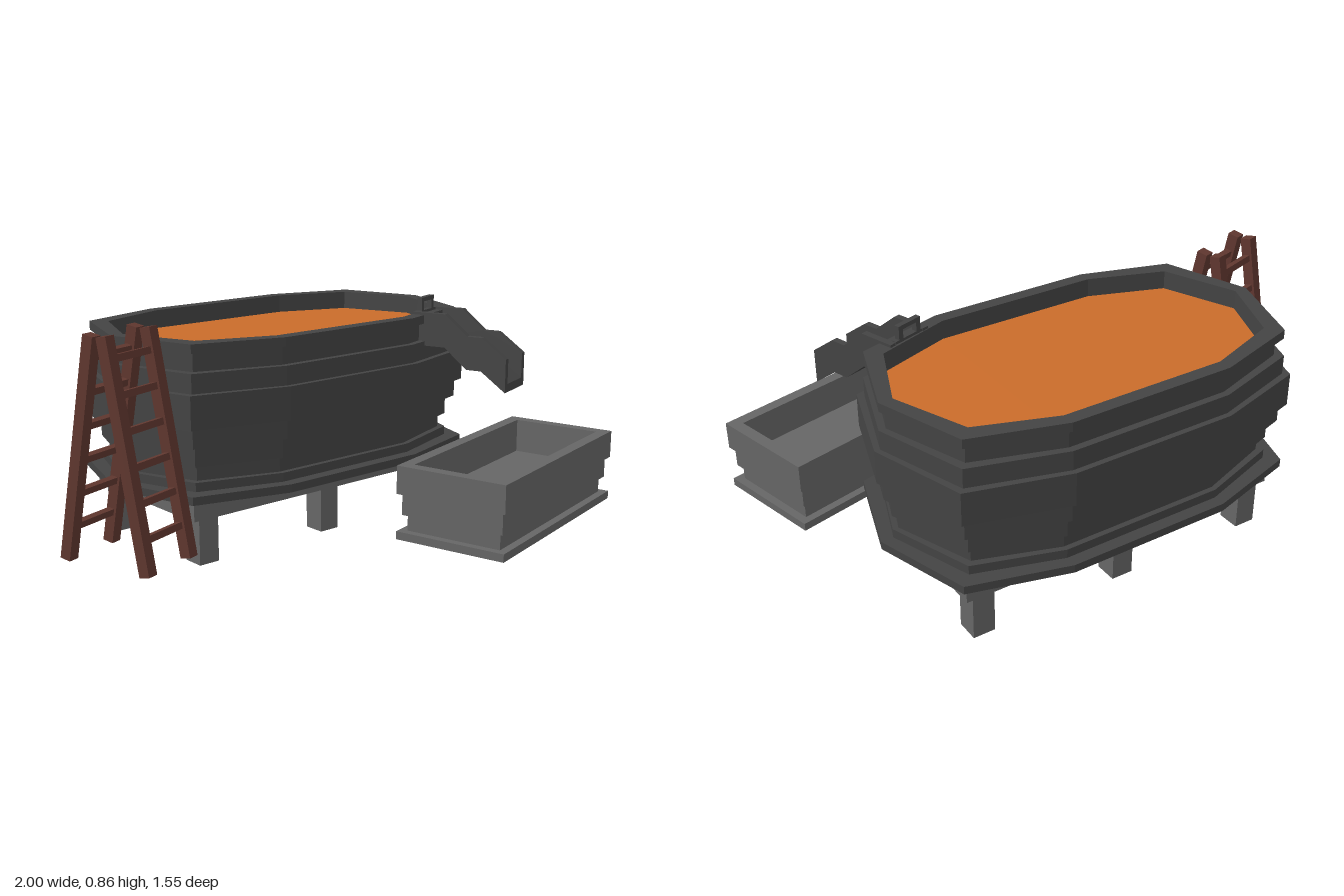
import * as THREE from 'three';

const mat = (name, color, extra = {}) => {
  const m = new THREE.MeshStandardMaterial({ color, ...extra });
  m.name = name;
  return m;
};

export function createModel() {
  const model = new THREE.Group();
  model.name = 'smeltingVat';
  const darkIron = mat('darkIron', 0x444444);
  const stone = mat('lightStone', 0x666666);
  const molten = mat('moltenOrange', 0xca6c2a);
  const wood = mat('redBrownWood', 0x60372f);

  const add = (parent, name, geo, material, x = 0, y = 0, z = 0) => {
    const m = new THREE.Mesh(geo, material);
    m.name = name;
    m.position.set(x, y, z);
    parent.add(m);
    return m;
  };
  const group = (name, x, y, z, turn = 0) => {
    const g = new THREE.Group();
    g.name = name;
    g.position.set(x, y, z);
    g.rotation.y = turn;
    model.add(g);
    return g;
  };
  const box = (w, h, d) => new THREE.BoxGeometry(w, h, d);

  // Upright slab from a plan outline, with an optional hole
  const slab = (outline, y0, y1, hole) => {
    const shape = new THREE.Shape(outline);
    if (hole) shape.holes.push(new THREE.Path(hole));
    const g = new THREE.ExtrudeGeometry(shape, { depth: y1 - y0, bevelEnabled: false });
    return g.rotateX(-Math.PI / 2).translate(0, y0, 0);
  };
  const V = (x, y) => new THREE.Vector2(x, y);

  // Ten-sided plan, drawn in by d
  const decagon = (d) => {
    const a = 0.45 - d, b = 0.665 - d, c = 0.35 - d, e = 0.775 - d;
    return [V(e, 0), V(b, c), V(0.31, a), V(-0.31, a), V(-b, c),
      V(-e, 0), V(-b, -c), V(-0.31, -a), V(0.31, -a), V(b, -c)];
  };
  const rect = (d) => {
    const w = 0.451 - d, h = 0.215 - d;
    return [V(w, h), V(-w, h), V(-w, -h), V(w, -h)];
  };

  // Vat: stacked stepped courses, the upper ones hollow
  const vat = group('vat', 0.035, 0, -0.325);
  [
    [0.245, 0.275, 0], [0.275, 0.308, 0.045], [0.308, 0.3625, 0.065],
    [0.3625, 0.437, 0.045], [0.437, 0.508, 0.02], [0.508, 0.63, 0],
    [0.63, 0.70, 0.02], [0.70, 0.767, 0.045, true], [0.767, 0.80, 0.025, true],
  ].forEach(([y0, y1, d, hollow], i) =>
    add(vat, 'vatCourse' + (i + 1), slab(decagon(d), y0, y1, hollow && decagon(0.075)), darkIron));
  add(vat, 'moltenSurface', slab(decagon(0.075), 0.70, 0.73), molten);

  // Platform and six legs
  add(vat, 'platform', box(1.27, 0.075, 0.625), stone, 0, 0.2075, 0);
  for (const x of [-0.565, 0, 0.565]) {
    for (const z of [-0.2575, 0.2575]) {
      add(vat, 'leg', box(0.082, 0.17, 0.085), stone, x, 0.085, z);
    }
  }

  // Casting trough with stepped walls
  const trough = group('trough', 0.507, 0, 0.457, 0.246);
  add(trough, 'troughBase', slab(rect(0), 0.065, 0.095), stone);
  add(trough, 'troughLowerWall', slab(rect(0.03), 0.095, 0.155), stone);
  add(trough, 'troughMiddle', slab(rect(0.015), 0.155, 0.21), stone);
  add(trough, 'troughUpperWall', slab(rect(0.015), 0.21, 0.235, rect(0.045)), stone);
  add(trough, 'troughRim', slab(rect(0), 0.235, 0.34, rect(0.045)), stone);

  // Pouring chute: side profile swept across its width
  const chute = group('chute', 0.5, 0, 0, 0.32);
  const run = [[0, 0.81], [0.137, 0.81], [0.23, 0.733], [0.29, 0.733], [0.39, 0.66]];
  const strip = (height, width) => {
    const pts = run.map(([s, y]) => V(s, y - 0.128));
    [...run].reverse().forEach(([s, y]) => pts.push(V(s, y - 0.128 + height)));
    const g = new THREE.ExtrudeGeometry(new THREE.Shape(pts), { depth: width, bevelEnabled: false });
    return g.translate(0, 0, -width / 2).rotateY(-Math.PI / 2);
  };
  add(chute, 'chuteFloor', strip(0.032, 0.136), darkIron);
  for (const s of [-1, 1]) add(chute, 'chuteWall', strip(0.128, 0.024), darkIron, s * 0.079);

  // Sluice gate with a square handle
  add(chute, 'gatePlate', box(0.136, 0.11, 0.02), darkIron, -0.005, 0.755, 0.012);
  for (const s of [-1, 1]) add(chute, 'gateHandlePost', box(0.02, 0.055, 0.02), darkIron, -0.005 + s * 0.042, 0.8325, 0.012);
  add(chute, 'gateHandleBar', box(0.104, 0.016, 0.02), darkIron, -0.005, 0.852, 0.012);

  // Folding ladder: two leaning frames of rails and rungs
  const ladder = group('ladder', -0.82, 0, -0.09, 0.307);
  const lean = Math.atan2(0.14, 0.76);
  for (const side of [-1, 1]) {
    for (const s of [-1, 1]) {
      const rail = add(ladder, 'ladderRail', box(0.042, 0.80, 0.042), wood, s * 0.11, 0.467, side * 0.1);
      rail.rotation.x = -side * lean;
    }
    for (let i = 0; i < 6; i++) {
      const y = 0.19 + i * 0.119;
      const z = side * (0.1 - (y - 0.467) * Math.tan(lean));
      const rung = add(ladder, 'ladderRung', box(0.2, 0.024, 0.024), wood, 0, y, z);
      rung.rotation.x = -side * lean;
    }
  }
  return model;
}
